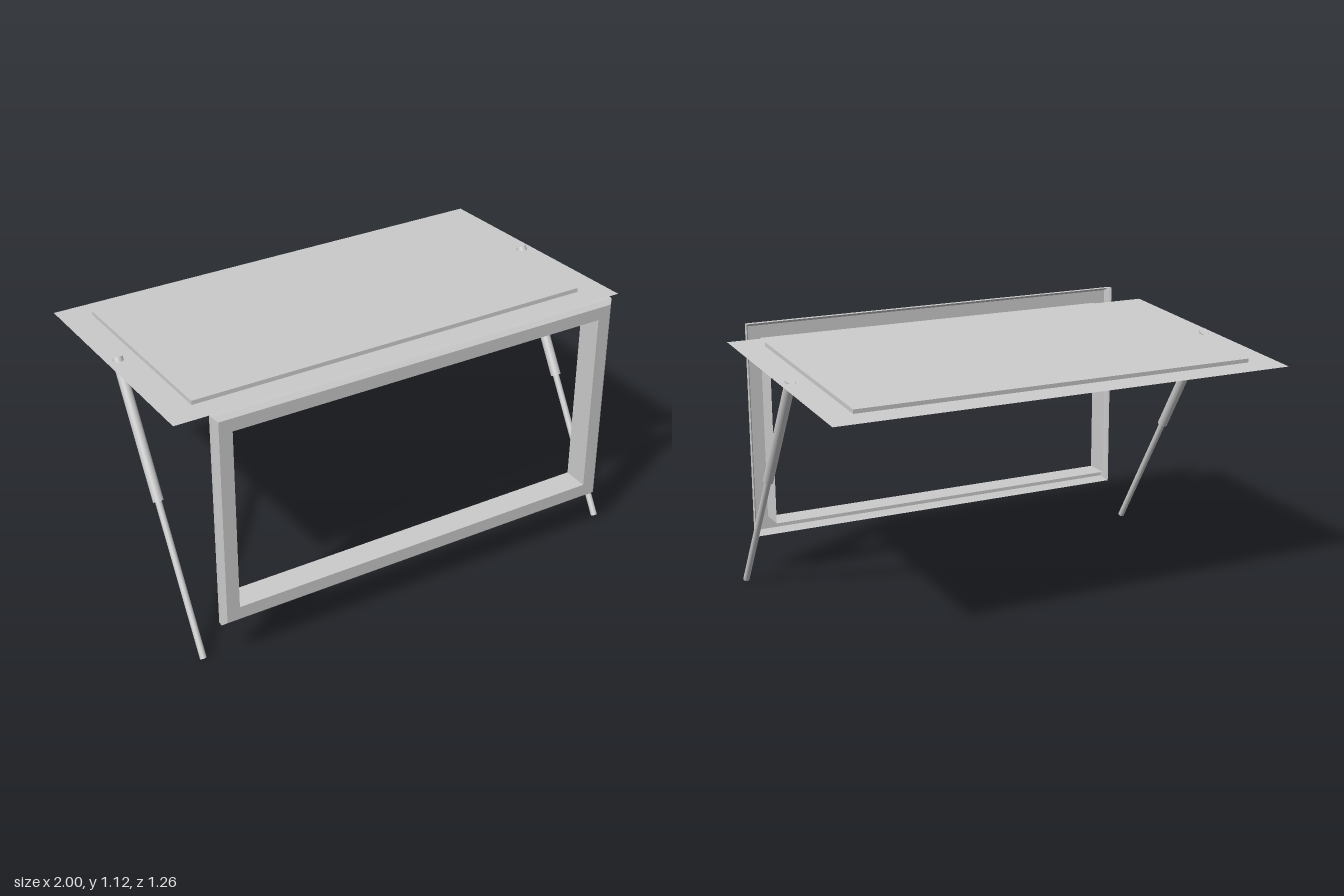
import * as THREE from 'three';

const material = new THREE.MeshStandardMaterial({ color: 0xcccccc, side: THREE.DoubleSide });

// Thin sheet through nested rectangles [halfWidth, halfHeight, depth], outermost first
function rectangleLoft(name, rings, closed) {
  const positions = [];
  const corners = ([w, h, d]) => [[-w, -h, d], [w, -h, d], [w, h, d], [-w, h, d]];
  const quad = (a, b, c, d) => positions.push(...a, ...b, ...c, ...a, ...c, ...d);
  for (let i = 0; i < rings.length - 1; i++) {
    const outer = corners(rings[i]);
    const inner = corners(rings[i + 1]);
    for (let k = 0; k < 4; k++) {
      const n = (k + 1) % 4;
      quad(outer[k], outer[n], inner[n], inner[k]);
    }
  }
  if (closed) quad(...corners(rings[rings.length - 1]));
  const geometry = new THREE.BufferGeometry();
  geometry.setAttribute('position', new THREE.Float32BufferAttribute(positions, 3));
  geometry.computeVertexNormals();
  const mesh = new THREE.Mesh(geometry, material);
  mesh.name = name;
  return mesh;
}

// Capped cylinder between two points
function rod(name, from, to, radius) {
  const axis = to.clone().sub(from);
  const mesh = new THREE.Mesh(new THREE.CylinderGeometry(radius, radius, axis.length(), 24), material);
  mesh.name = name;
  mesh.position.copy(from).add(to).multiplyScalar(0.5);
  mesh.quaternion.setFromUnitVectors(new THREE.Vector3(0, 1, 0), axis.normalize());
  return mesh;
}

export function createModel() {
  const model = new THREE.Group();
  model.name = 'hatchAssembly';

  // Window frame: back lip, chamfer, front face, then the sleeve running back
  const frame = rectangleLoft('windowFrame', [
    [0.89, 0.47, 0.588],
    [0.89, 0.47, 0.61],
    [0.873, 0.453, 0.627],
    [0.818, 0.398, 0.627],
    [0.818, 0.398, 0.517],
  ], false);
  frame.position.y = 0.651;
  model.add(frame);

  // Tilted hatch: flat border with a raised centre, hollow underneath
  const hatch = rectangleLoft('hatchPanel', [
    [1, 0.576, 0],
    [0.875, 0.467, 0],
    [0.875, 0.467, 0.017],
  ], true);
  hatch.position.set(0, 1.03, -0.055);
  hatch.rotation.x = THREE.MathUtils.degToRad(-94);
  model.add(hatch);

  // Telescopic struts, one on each side
  for (const side of [-1, 1]) {
    const strut = new THREE.Group();
    strut.name = side > 0 ? 'leftStrut' : 'rightStrut';
    const foot = new THREE.Vector3(side * 0.952, 0.0075, 0.559);
    const top = new THREE.Vector3(side * 0.952, 1.037, -0.089);
    const joint = foot.clone().lerp(top, 0.524);
    strut.add(rod('strutRod', foot, joint.clone().lerp(top, 0.1), 0.0135));
    strut.add(rod('strutTube', joint, top, 0.0215));
    model.add(strut);
  }

  return model;
}
